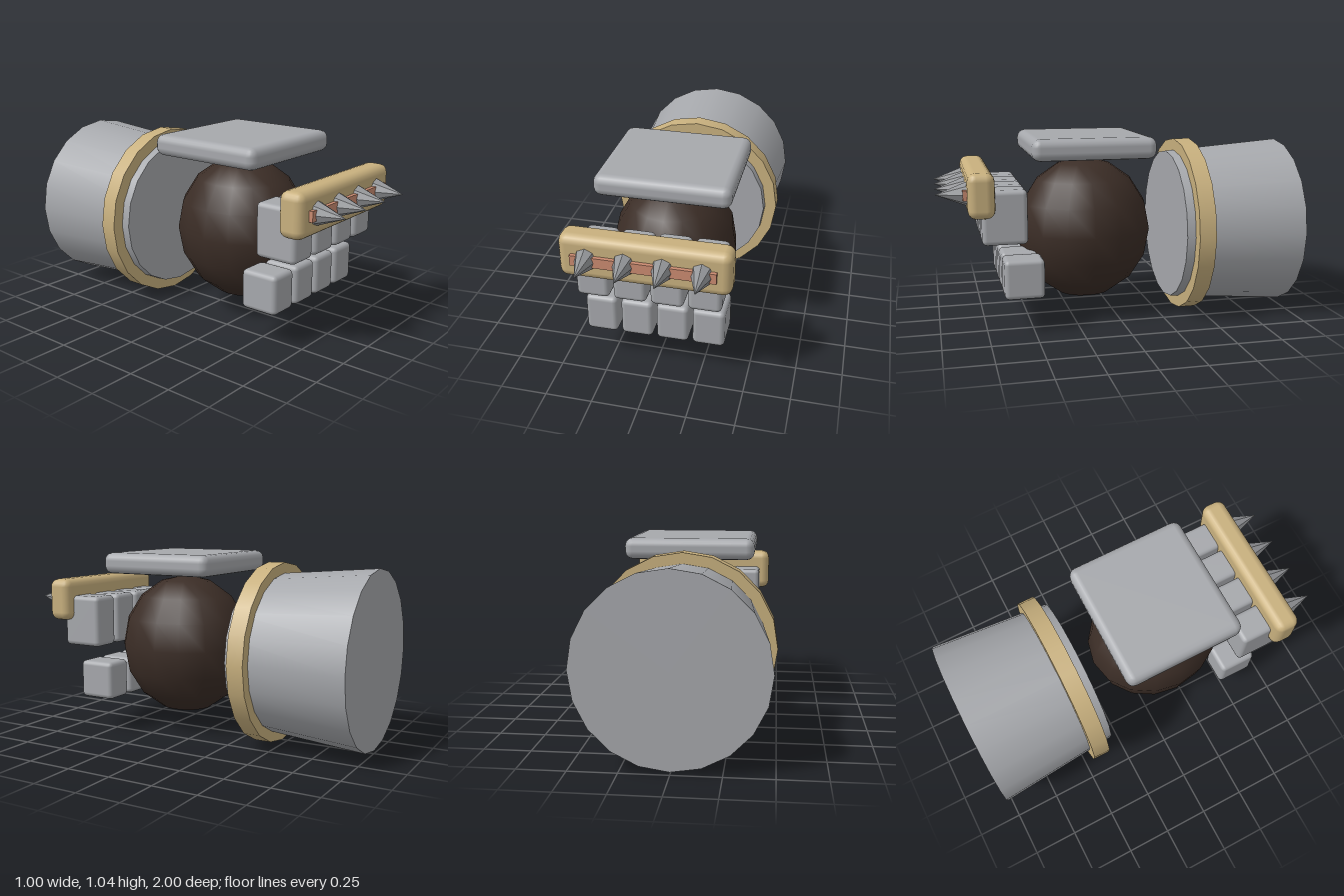
import * as THREE from 'three';
import { RoundedBoxGeometry } from 'three/addons/geometries/RoundedBoxGeometry.js';

function makeMaterial(name, color, flatShading = false) {
  const m = new THREE.MeshStandardMaterial({ color, flatShading });
  m.name = name;
  return m;
}

export function createModel() {
  const group = new THREE.Group();
  const steel = makeMaterial('steel grey', 0xa6a8ac);
  const gold = makeMaterial('pale gold', 0xc8b07e);
  const leather = makeMaterial('dark leather', 0x3b2d26);
  const copper = makeMaterial('copper', 0xc98a70);
  const spikeSteel = makeMaterial('spike grey', 0x929497, true);

  const add = (name, geometry, material, x, y, z) => {
    const mesh = new THREE.Mesh(geometry, material);
    mesh.name = name;
    mesh.position.set(x, y, z);
    group.add(mesh);
    return mesh;
  };
  // Rounded box given by its width and its y and z extents
  const block = (name, material, x, width, y0, y1, z0, z1, radius) =>
    add(name, new RoundedBoxGeometry(width, y1 - y0, z1 - z0, 2, radius), material,
      x, (y0 + y1) / 2, (z0 + z1) / 2);
  // Cylinder lying along z, from z0 (back) to z1 (front)
  const drum = (name, material, rFront, rBack, z0, z1) =>
    add(name, new THREE.CylinderGeometry(rFront, rBack, z1 - z0, 20).rotateX(Math.PI / 2),
      material, 0, 0.502, (z0 + z1) / 2);

  // Flared forearm cuff with its band
  drum('cuff', steel, 0.429, 0.484, -1, -0.325);
  drum('cuffBand', gold, 0.499, 0.499, -0.466, -0.372);

  // Leather palm
  const palm = add('palm', new THREE.SphereGeometry(1, 16, 8), leather, 0, 0.503, 0.165);
  palm.scale.set(0.346, 0.405, 0.385);

  // Plate over the back of the hand
  block('handPlate', steel, 0, 0.724, 0.927, 1.045, -0.175, 0.5, 0.045);

  // Knuckle bar with its inlay
  block('knuckleBar', gold, 0, 0.868, 0.649, 0.888, 0.7, 0.84, 0.045);
  add('knuckleInlay', new THREE.BoxGeometry(0.727, 0.056, 0.04), copper, 0, 0.768, 0.841);

  // Four fingers, each of two segments, with a spike above
  const spikeGeometry = new THREE.ConeGeometry(0.063, 0.16, 8).rotateX(Math.PI / 2);
  for (let i = 0; i < 4; i++) {
    const x = (i - 1.5) * 0.193;
    block('upperFinger', steel, x, 0.172, 0.5, 0.79, 0.53, 0.77, 0.026);
    block('lowerFinger', steel, x, 0.172, 0.2, 0.415, 0.445, 0.66, 0.026);
    add('spike', spikeGeometry, spikeSteel, x, 0.768, 0.92).scale.x = 0.89;
  }
  return group;
}
